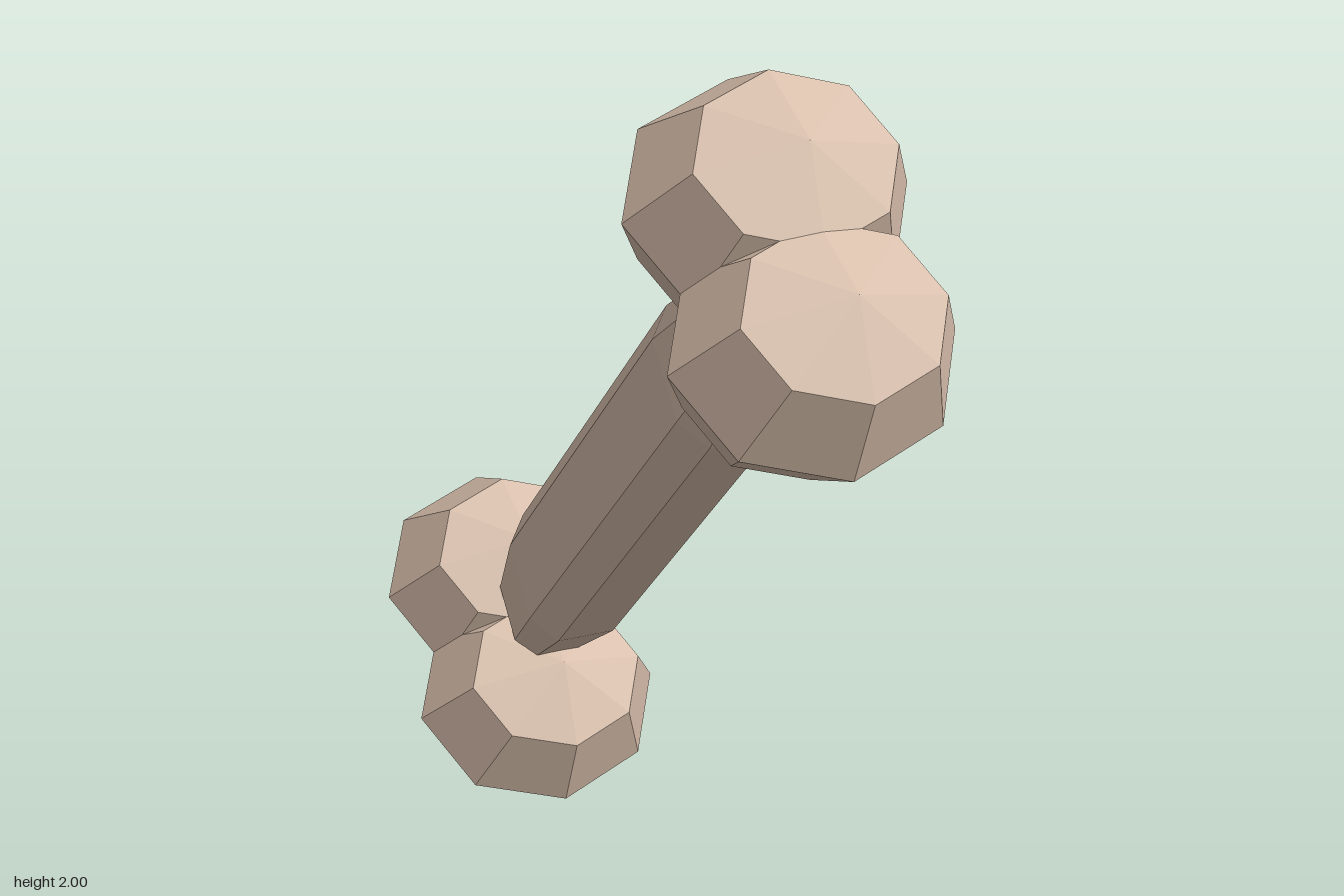
import * as THREE from 'three';

export function createModel() {
  const material = new THREE.MeshStandardMaterial({ color: 0xd8bfac, flatShading: true });
  const model = new THREE.Group();
  model.name = 'bone';

  // Bone is built upright around its middle, then leaned 45 degrees to the front
  const bone = new THREE.Group();
  bone.name = 'leaningBone';
  bone.position.y = 1;
  bone.rotation.x = Math.PI / 4;
  model.add(bone);

  // Shaft: a chamfered bar whose ends taper into the knobs
  const shaftGeo = new THREE.CylinderGeometry(1, 1, 2, 8, 3);
  shaftGeo.rotateY(Math.PI / 8);
  const pos = shaftGeo.attributes.position;
  const side = (v, wide, narrow) =>
    Math.abs(v) < 0.1 ? 0 : Math.sign(v) * (Math.abs(v) > 0.6 ? wide : narrow);
  for (let i = 0; i < pos.count; i++) {
    const isEnd = Math.abs(pos.getY(i)) > 0.9;
    const k = isEnd ? 0.75 : 1;
    pos.setXYZ(
      i,
      k * side(pos.getX(i), 0.105, 0.06),
      Math.sign(pos.getY(i)) * (isEnd ? 0.75 : 0.535),
      k * side(pos.getZ(i), 0.14, 0.08)
    );
  }
  shaftGeo.computeVertexNormals();
  const shaft = new THREE.Mesh(shaftGeo, material);
  shaft.name = 'shaft';
  bone.add(shaft);

  // Knobs: a pair of faceted balls at each end, slightly wide in x
  const knobGeo = new THREE.SphereGeometry(0.235, 8, 4);
  knobGeo.scale(1.125, 1, 1);
  for (const end of [1, -1]) {
    for (const face of [1, -1]) {
      const knob = new THREE.Mesh(knobGeo, material);
      knob.name = (end > 0 ? 'upper' : 'lower') + (face > 0 ? 'Front' : 'Back') + 'Knob';
      knob.position.set(0, end * 0.943, face * 0.139);
      bone.add(knob);
    }
  }
  return model;
}
